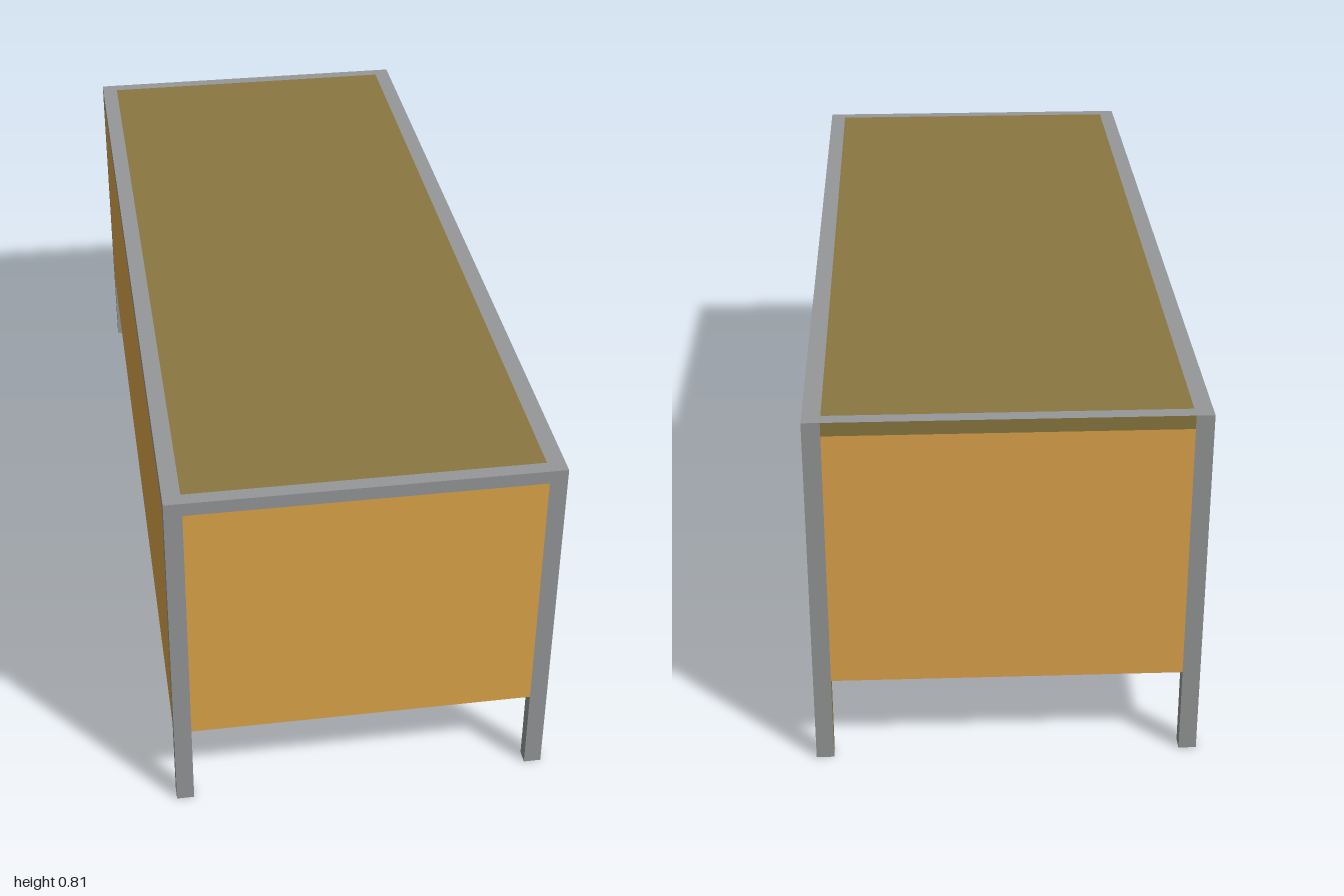
import * as THREE from 'three';

export function createModel() {
  const model = new THREE.Group();
  model.name = 'desk';

  const metal = new THREE.MeshStandardMaterial({ color: 0x959798 });
  const wood = new THREE.MeshStandardMaterial({ color: 0xdfa64b });
  const olive = new THREE.MeshStandardMaterial({ color: 0x8a7841 });

  // outer half sizes, height and post section
  const X = 0.412, Z = 1, H = 0.81, PX = 0.038, PZ = 0.031;
  const xi = X - PX, zi = Z - PZ;
  const railY = 0.78, underY = 0.75, panelY = 0.197;

  // box between two corners; faces order: +x -x +y -y +z -z
  function block(name, [x0, y0, z0], [x1, y1, z1], material, oliveFaces = []) {
    const mats = [0, 1, 2, 3, 4, 5].map(i => (oliveFaces.includes(i) ? olive : material));
    const mesh = new THREE.Mesh(
      new THREE.BoxGeometry(x1 - x0, y1 - y0, z1 - z0),
      oliveFaces.length ? mats : material
    );
    mesh.position.set((x0 + x1) / 2, (y0 + y1) / 2, (z0 + z1) / 2);
    mesh.name = name;
    model.add(mesh);
  }

  // four legs; the front left one stops under the front rail
  for (const sx of [-1, 1]) {
    for (const sz of [-1, 1]) {
      const name = (sz > 0 ? 'front' : 'back') + (sx > 0 ? 'Left' : 'Right') + 'Leg';
      const x0 = sx > 0 ? xi : -X, z0 = sz > 0 ? zi : -Z;
      const top = sx > 0 && sz > 0 ? railY : H;
      block(name, [x0, 0, z0], [x0 + PX, top, z0 + PZ], metal, sx > 0 && sz < 0 ? [1] : []);
    }
  }

  // top frame; the rail over the open side is deeper
  block('frontRail', [-xi, railY, zi], [X, H, Z], metal, [0]);
  block('backRail', [-xi, railY, -Z], [xi, H, -zi], metal, [5]);
  block('closedSideRail', [-X, railY, -zi], [-xi, H, zi], metal);
  block('openSideRail', [xi, underY, -zi], [X, H, zi], metal, [3]);

  // table top, flush with the frame
  block('tableTop', [-xi, railY, -zi], [xi, H, zi], metal, [2]);

  // panels closing both ends and one long side
  block('frontPanel', [-xi, panelY, zi], [xi, railY, Z], wood);
  block('backPanel', [-xi, panelY, -Z], [xi, railY, -zi], wood);
  block('sidePanel', [-X, panelY, -zi], [-xi, railY, zi], wood);

  return model;
}
